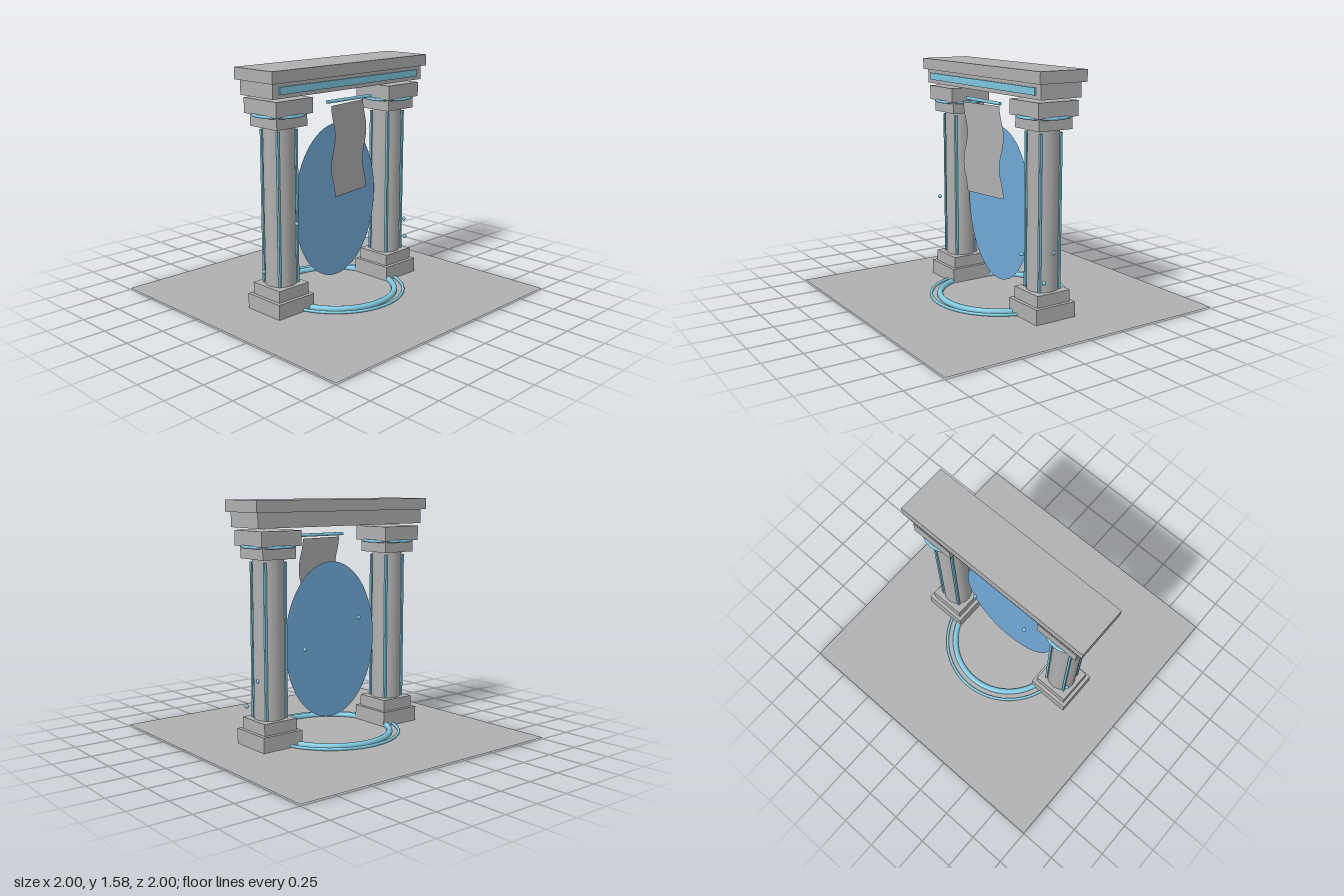
import * as THREE from 'three';

export function createModel() {
  const model = new THREE.Group();
  model.name = 'portalGate';

  const mat = (name, color, side = THREE.FrontSide) => {
    const m = new THREE.MeshStandardMaterial({ color, side });
    m.name = name;
    return m;
  };
  const stone = mat('stone', 0xb0b0b0, THREE.DoubleSide);
  const glow = mat('glow', 0x7ec8e0);
  const water = mat('portalBlue', 0x70a8d8, THREE.DoubleSide);

  const add = (parent, name, geometry, material, x = 0, y = 0, z = 0) => {
    const mesh = new THREE.Mesh(geometry, material);
    mesh.name = name;
    mesh.position.set(x, y, z);
    parent.add(mesh);
    return mesh;
  };
  // box given by its width, depth and vertical range
  const block = (parent, name, w, d, y0, y1) =>
    add(parent, name, new THREE.BoxGeometry(w, y1 - y0, d), stone, 0, (y0 + y1) / 2, 0);
  const ring = (parent, name, radius, tube, y) => {
    const g = new THREE.TorusGeometry(radius, tube, 12, 64).rotateX(Math.PI / 2);
    return add(parent, name, g, glow, 0, y, 0);
  };

  // ground sheet and its two glowing circles
  add(model, 'ground', new THREE.PlaneGeometry(2, 2).rotateX(-Math.PI / 2), stone, 0, 0.01, 0);
  ring(model, 'innerGroundRing', 0.4, 0.02, 0.02);
  ring(model, 'outerGroundRing', 0.46, 0.01, 0.02);

  // columns
  for (const side of [-1, 1]) {
    const column = new THREE.Group();
    column.name = side > 0 ? 'leftColumn' : 'rightColumn';
    column.position.x = side * 0.5;
    model.add(column);
    block(column, 'plinth', 0.3, 0.3, 0.01, 0.11);
    block(column, 'base', 0.25, 0.25, 0.11, 0.187);
    add(column, 'shaft', new THREE.CylinderGeometry(0.1, 0.1, 1.03, 32), stone, 0, 0.7, 0);
    block(column, 'capital', 0.25, 0.25, 1.21, 1.29);
    block(column, 'abacus', 0.3, 0.3, 1.29, 1.387);
    ring(column, 'capitalRing', 0.16, 0.01, 1.287);
    for (const sx of [-1, 1]) for (const sz of [-1, 1]) {
      add(column, 'shaftStrip', new THREE.BoxGeometry(0.015, 1, 0.015), glow, sx * 0.076, 0.69, sz * 0.076);
    }
  }

  // lintel with a glowing band on the front
  block(model, 'lintel', 1.35, 0.3, 1.405, 1.5);
  block(model, 'cornice', 1.4, 0.35, 1.5, 1.575);
  add(model, 'lintelBand', new THREE.BoxGeometry(1.25, 0.046, 0.01), glow, 0, 1.453, 0.156);

  // oval portal
  add(model, 'portal', new THREE.CircleGeometry(0.375, 64).scale(1, 1.4, 1), water, 0, 0.64, 0);

  // hanging rod and waving banner, turned slightly sideways
  add(model, 'bannerRod', new THREE.CylinderGeometry(0.011, 0.011, 0.4, 16).rotateZ(Math.PI / 2), glow, 0, 1.337, 0.12);
  const cloth = new THREE.PlaneGeometry(0.355, 0.6, 1, 30);
  const p = cloth.attributes.position;
  for (let i = 0; i < p.count; i++) {
    const t = 0.5 - p.getY(i) / 0.6;
    p.setX(i, p.getX(i) - 0.02 * Math.cos(t * 3 * Math.PI));
  }
  add(model, 'banner', cloth, stone, 0, 1.015, 0.122).rotation.y = 0.16;

  // floating sparks
  const sparks = [
    [-0.508, 0.614, 0.165], [0.508, 0.438, 0.165], [0.625, 0.264, 0.077],
    [0.594, 0.438, -0.013], [-0.592, 0.264, -0.06], [0.26, 0.61, -0.06], [-0.19, 0.78, -0.066],
  ];
  for (const [x, y, z] of sparks) {
    add(model, 'spark', new THREE.SphereGeometry(0.0135, 16, 12), glow, x, y, z);
  }
  return model;
}
